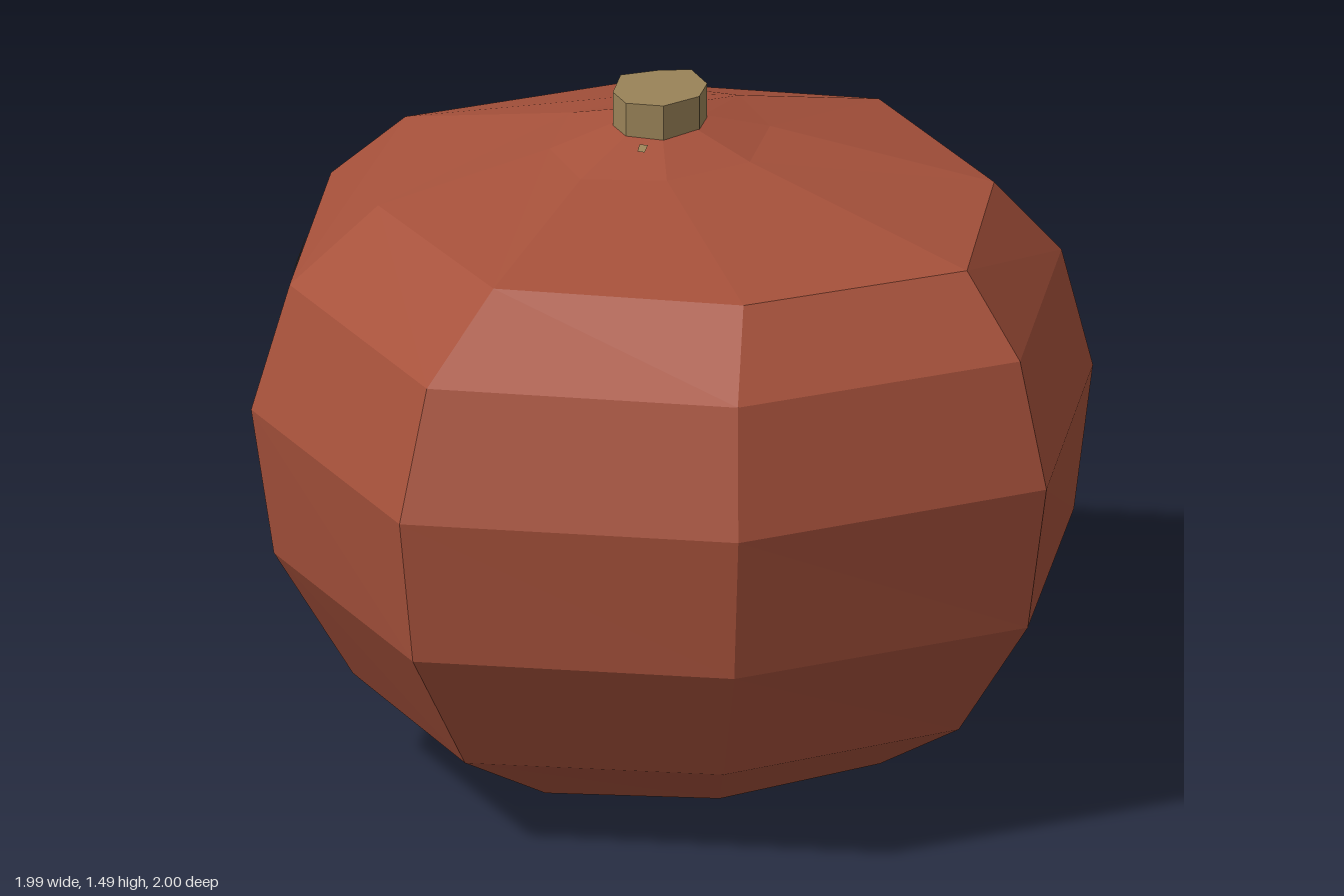
import * as THREE from 'three';

const SIDES = 8;
// Body rings from the base up: y, centre x, centre z, radius x, radius z, tilt along x
const RINGS = [
  [0.005, 0.05, -0.05, 0.13, 0.25, 0],
  [0.07, 0.045, 0.01, 0.525, 0.51, 0.035],
  [0.22, 0.005, 0, 0.765, 0.76, 0.012],
  [0.505, -0.003, 0.005, 0.955, 0.945, -0.008],
  [0.838, -0.003, 0, 0.997, 1.0, -0.007],
  [1.113, 0.01, 0, 0.91, 0.92, -0.016],
  [1.278, 0.035, 0.01, 0.705, 0.75, -0.014],
  [1.365, 0.09, -0.1, 0.29, 0.24, 0.01],
  [1.41, 0.085, -0.1, 0.115, 0.1, 0],
];

// Corner i of a ring; the diagonal corners sit slightly inward
function corner([y, cx, cz, rx, rz, tilt], i) {
  const a = (i * Math.PI * 2) / SIDES;
  const k = i % 2 ? 0.92 : 1;
  const x = Math.cos(a) * rx * k;
  return new THREE.Vector3(cx + x, y + tilt * x, cz + Math.sin(a) * rz * k);
}

function bodyGeometry() {
  const pts = [];
  const tri = (...v) => v.forEach((p) => pts.push(p));
  for (let j = 0; j < RINGS.length - 1; j++) {
    for (let i = 0; i < SIDES; i++) {
      const a = corner(RINGS[j], i), b = corner(RINGS[j], i + 1);
      const c = corner(RINGS[j + 1], i + 1), d = corner(RINGS[j + 1], i);
      tri(a, d, c, a, c, b);
    }
  }
  // Close the base and the top
  const cap = (ring, up) => {
    const mid = new THREE.Vector3(ring[1], ring[0], ring[2]);
    for (let i = 0; i < SIDES; i++) {
      const p = corner(ring, i), q = corner(ring, i + 1);
      if (up) tri(mid, q, p);
      else tri(mid, p, q);
    }
  };
  cap(RINGS[0], false);
  cap(RINGS[RINGS.length - 1], true);
  const geo = new THREE.BufferGeometry().setFromPoints(pts);
  geo.computeVertexNormals();
  return geo;
}

// Thin mark laid on the face below ring j, running from corner i to corner i - 1
function markGeometry(j, i, outline) {
  const geo = new THREE.ShapeGeometry(new THREE.Shape(outline.map((p) => new THREE.Vector2(...p))));
  const top0 = corner(RINGS[j], i), top1 = corner(RINGS[j], i - 1);
  const low0 = corner(RINGS[j - 1], i), low1 = corner(RINGS[j - 1], i - 1);
  const out = new THREE.Vector3().crossVectors(low0.clone().sub(top0), top1.clone().sub(top0)).normalize();
  const pos = geo.attributes.position;
  for (let n = 0; n < pos.count; n++) {
    const u = pos.getX(n), v = pos.getY(n);
    const p = top0.clone().lerp(top1, u).lerp(low0.clone().lerp(low1, u), v);
    p.addScaledVector(out, 0.005);
    pos.setXYZ(n, p.x, p.y, p.z);
  }
  geo.computeVertexNormals();
  return geo;
}

export function createModel() {
  const model = new THREE.Group();
  const material = (name, color, extra = {}) => {
    const m = new THREE.MeshStandardMaterial({ color, flatShading: true, ...extra });
    m.name = name;
    return m;
  };
  const skin = material('russet skin', 0xa6513b);
  const wood = material('tan stem', 0x9a8358, { side: THREE.DoubleSide });

  const add = (name, geo, mat) => {
    const mesh = new THREE.Mesh(geo, mat);
    mesh.name = name;
    model.add(mesh);
    return mesh;
  };

  add('body', bodyGeometry(), skin);

  // Stubby, uneven stem, set off centre
  const stemOutline = [[0.09, -0.205], [0.16, -0.155], [0.205, -0.1], [0.16, -0.025], [0.09, 0.005], [0, -0.025], [-0.035, -0.1], [0, -0.16]];
  const stemShape = new THREE.Shape(stemOutline.map(([x, z]) => new THREE.Vector2(x, -z)));
  const stem = add('stem', new THREE.ExtrudeGeometry(stemShape, { depth: 0.088, bevelEnabled: false }), wood);
  stem.rotation.x = -Math.PI / 2;
  stem.position.y = 1.397;

  // Flat patch under the base
  const patch = add('basePatch', new THREE.CylinderGeometry(0.2, 0.2, 0.008, 9), wood);
  patch.position.set(0, 0.004, -0.11);

  // Small marks on the back and beside the stem
  add('backMark', markGeometry(5, 6, [[0.46, 0.12], [0.5, 0.08], [0.57, 0.13], [0.72, 0.12], [0.73, 0.18], [0.62, 0.2], [0.55, 0.27], [0.46, 0.24]]), wood);
  add('topMark', markGeometry(8, 4, [[0.5, 0.25], [0.68, 0.25], [0.65, 0.42], [0.52, 0.4]]), wood);
  return model;
}
